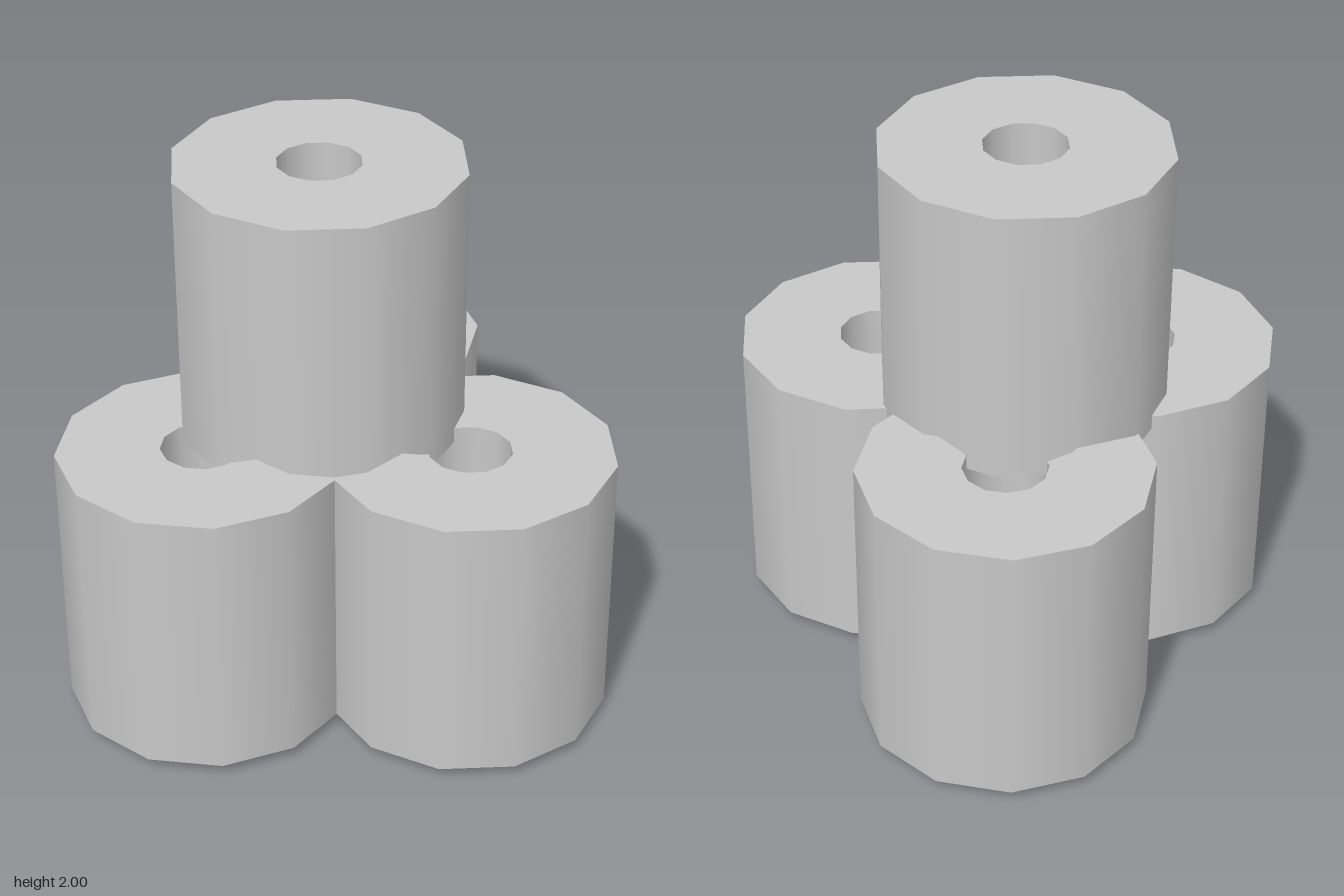
import * as THREE from 'three';
import { mergeGeometries } from 'three/addons/utils/BufferGeometryUtils.js';

const SIDES = 12;
const R = 0.503, CREST = 0.25, HOLE = 0.146; // outer wall, raised ring, bore
const H = 0.535, RIM = 0.492;                // half heights at crest and at rims

// Revolve a short run of profile points; capY sets straight up/down normals
function band(points, capY = 0) {
  const geo = new THREE.LatheGeometry(points.map(([x, y]) => new THREE.Vector2(x, y)), SIDES);
  if (capY) {
    const n = geo.attributes.normal;
    for (let i = 0; i < n.count; i++) n.setXYZ(i, 0, capY, 0);
  }
  return geo;
}

// Hollow twelve-sided bead with gently crowned ends
function beadGeometry() {
  return mergeGeometries([
    band([[R, -RIM], [R, RIM]]),                           // outer wall
    band([[R, RIM], [CREST, H], [HOLE, RIM]], 1),          // top end
    band([[HOLE, RIM], [HOLE, -RIM]]),                     // bore
    band([[HOLE, -RIM], [CREST, -H], [R, -RIM]], -1),      // bottom end
  ]);
}

export function createModel() {
  const group = new THREE.Group();
  group.name = 'beadStack';
  const grey = new THREE.MeshStandardMaterial({ color: 0xc8c8c8 });
  grey.name = 'light grey';
  const geometry = beadGeometry();

  // name, x, centre height, z, turn in degrees
  const beads = [
    ['frontBead', -0.42, H, 0.455, 0],
    ['leftBead', 0.425, H, 0.125, 11],
    ['backBead', -0.305, H, -0.46, -4.3],
    ['topBead', -0.162, 2 - H, 0.037, 11.2],
  ];
  for (const [name, x, y, z, turn] of beads) {
    const bead = new THREE.Mesh(geometry, grey);
    bead.name = name;
    bead.position.set(x, y, z);
    bead.rotation.y = THREE.MathUtils.degToRad(turn);
    group.add(bead);
  }
  return group;
}
